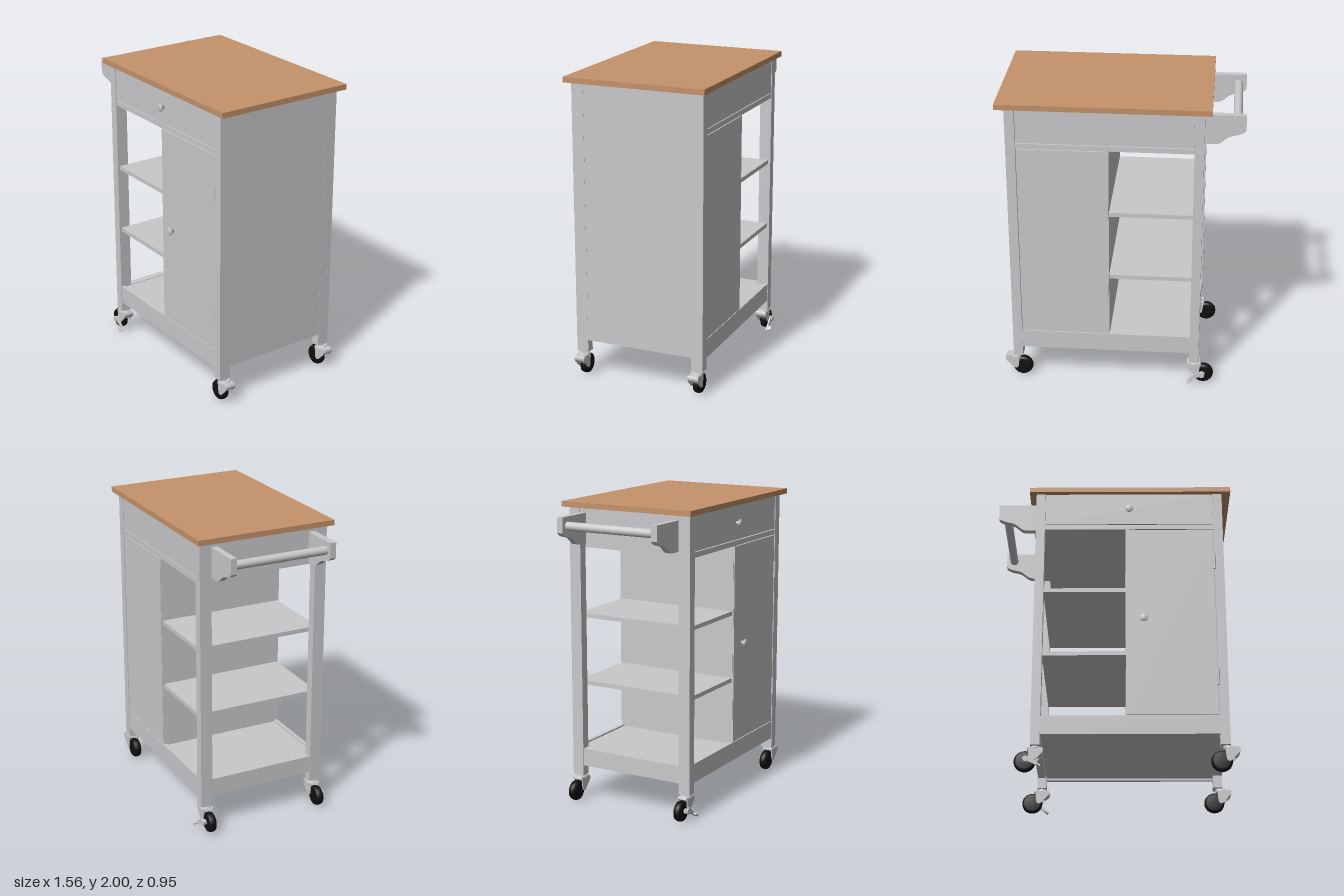
import * as THREE from 'three';

export function createModel() {
  const model = new THREE.Group();
  model.name = 'kitchenCart';
  const paint = new THREE.MeshStandardMaterial({ color: 0xc9c9cc });
  paint.name = 'grey paint';
  const wood = new THREE.MeshStandardMaterial({ color: 0xc4926a });
  wood.name = 'wood';
  const rubber = new THREE.MeshStandardMaterial({ color: 0x101010 });
  rubber.name = 'black rubber';

  const add = (name, geo, mat = paint, parent = model) => {
    const m = new THREE.Mesh(geo, mat);
    m.name = name;
    parent.add(m);
    return m;
  };
  // Box given by its min and max on each axis
  const box = (name, x0, x1, y0, y1, z0, z1, mat = paint) => {
    const m = add(name, new THREE.BoxGeometry(x1 - x0, y1 - y0, z1 - z0), mat);
    m.position.set((x0 + x1) / 2, (y0 + y1) / 2, (z0 + z1) / 2);
    return m;
  };
  // Outline in x and y, extruded along z about its middle
  const slab = (shape, depth) =>
    new THREE.ExtrudeGeometry(shape, { depth, bevelEnabled: false, curveSegments: 8 })
      .translate(0, 0, -depth / 2);

  // Worktop
  box('worktop', -0.57, 0.775, 1.965, 2, -0.473, 0.473, wood);

  // Corner legs
  for (const [x0, x1] of [[-0.525, -0.465], [0.655, 0.717]])
    for (const s of [1, -1])
      box('leg', x0, x1, 0.165, 1.965, s > 0 ? 0.365 : -0.445, s > 0 ? 0.445 : -0.365);

  // Closed side panel, and the aprons on the open side
  box('sidePanel', 0.66, 0.716, 0.25, 1.965, -0.366, 0.366);
  box('sideApron', -0.52, -0.47, 1.735, 1.965, -0.366, 0.366);
  box('lowerSideRail', -0.52, -0.47, 0.235, 0.352, -0.366, 0.366);

  // Drawer housing, floor and divider
  box('drawerHousing', -0.466, 0.656, 1.697, 1.964, -0.425, 0.425);
  box('floor', -0.466, 0.66, 0.25, 0.35, -0.425, 0.425);
  box('divider', 0.07, 0.095, 0.35, 1.697, -0.435, 0.435);

  // Open shelves
  for (const y of [0.793, 1.247])
    box('shelf', -0.466, 0.071, y - 0.014, y + 0.014, -0.428, 0.428);

  // Front and back faces
  for (const s of [1, -1]) {
    const face = (name, x0, x1, y0, y1, z) =>
      box(name, x0, x1, y0, y1, s > 0 ? z - 0.025 : -z, s > 0 ? z : -z + 0.025);
    face(s > 0 ? 'drawerFront' : 'backApron', -0.462, 0.652, 1.734, 1.964, 0.441);
    face('upperRail', -0.466, 0.656, 1.695, 1.729, 0.441);
    face('lowerRail', -0.466, 0.656, 0.235, 0.36, 0.441);
    face(s > 0 ? 'door' : 'backPanel', 0.073, 0.652, 0.365, 1.69, 0.441);
  }

  // Door hinges
  for (const y of [0.62, 1.45]) {
    add('hinge', new THREE.CylinderGeometry(0.009, 0.009, 0.11, 12)).position.set(0.655, y, 0.444);
  }

  // Knobs
  const knobProfile = [[0, 0], [0.014, 0], [0.011, 0.014], [0.024, 0.021], [0.026, 0.029], [0.02, 0.034], [0, 0.036]]
    .map(([r, h]) => new THREE.Vector2(r, h));
  for (const [name, x, y] of [['drawerKnob', 0.097, 1.843], ['doorKnob', 0.188, 1.028]]) {
    const k = add(name, new THREE.LatheGeometry(knobProfile, 24));
    k.rotation.x = Math.PI / 2;
    k.position.set(x, y, 0.44);
  }

  // Towel bar with curved brackets
  const bracket = new THREE.Shape();
  bracket.moveTo(-0.78, 1.93);
  bracket.lineTo(-0.78, 1.83);
  bracket.bezierCurveTo(-0.76, 1.80, -0.71, 1.80, -0.675, 1.785);
  bracket.bezierCurveTo(-0.64, 1.765, -0.63, 1.735, -0.59, 1.735);
  bracket.lineTo(-0.52, 1.735);
  bracket.lineTo(-0.52, 1.93);
  for (const z of [-0.343, 0.339]) add('handleBracket', slab(bracket, 0.042)).position.z = z;
  const bar = add('handleBar', new THREE.CylinderGeometry(0.028, 0.028, 0.65, 20));
  bar.rotation.x = Math.PI / 2;
  bar.position.set(-0.727, 1.87, 0);

  // Castor parts: origin on the floor below the stem, wheel trailing to -x
  const fork = new THREE.Shape();
  fork.moveTo(-0.045, 0.15);
  fork.lineTo(0.045, 0.15);
  fork.quadraticCurveTo(0.06, 0.13, 0.04, 0.11);
  fork.lineTo(-0.005, 0.062);
  fork.quadraticCurveTo(-0.03, 0.05, -0.035, 0.075);
  fork.lineTo(-0.04, 0.115);
  const hood = new THREE.Shape();
  hood.moveTo(-0.05, 0.14);
  hood.lineTo(-0.045, 0.152);
  hood.lineTo(0.045, 0.152);
  hood.quadraticCurveTo(0.06, 0.13, 0.04, 0.11);
  hood.lineTo(0.02, 0.095);
  hood.quadraticCurveTo(0, 0.135, -0.05, 0.14);
  const tyre = [[0.0, -0.026], [0.05, -0.026], [0.062, -0.02], [0.067, -0.008],
    [0.067, 0.008], [0.062, 0.02], [0.05, 0.026], [0, 0.026]].map(([r, h]) => new THREE.Vector2(r, h));
  const lever = new THREE.Shape();
  lever.moveTo(-0.075, 0.085);
  lever.lineTo(-0.03, 0.09);
  lever.lineTo(0.02, 0.045);
  lever.lineTo(0.045, 0.018);
  lever.lineTo(0.03, 0.018);
  lever.lineTo(-0.03, 0.05);
  lever.lineTo(-0.072, 0.058);

  for (const x of [-0.495, 0.725])
    for (const s of [1, -1]) {
      const c = new THREE.Group();
      c.name = 'castor';
      c.position.set(x, 0, s * 0.402);
      model.add(c);
      const offset = x > 0 ? -0.03 : 0; // stem sits under the leg
      add('stem', new THREE.CylinderGeometry(0.024, 0.024, 0.025, 16), paint, c).position.set(offset, 0.164, 0);
      add('swivel', new THREE.CylinderGeometry(0.034, 0.04, 0.014, 20), paint, c).position.set(offset / 2, 0.152, 0);
      add('hood', slab(hood, 0.06), paint, c);
      for (const t of [1, -1]) add('forkCheek', slab(fork, 0.008), paint, c).position.z = t * 0.032;
      const wheel = add('wheel', new THREE.LatheGeometry(tyre, 28), rubber, c);
      wheel.rotation.x = Math.PI / 2;
      wheel.position.set(-0.063, 0.067, 0);
      // Brake lever on the castors below the towel bar
      if (x < 0) {
        add('brakeLever', slab(lever, 0.01), paint, c).position.z = s * 0.043;
        const pedal = add('brakePedal', new THREE.BoxGeometry(0.03, 0.01, 0.035), paint, c);
        pedal.position.set(0.027, 0.026, s * 0.054);
        pedal.rotation.z = -0.7;
        const axle = add('axle', new THREE.CylinderGeometry(0.018, 0.018, 0.07, 16), paint, c);
        axle.rotation.x = Math.PI / 2;
        axle.position.set(-0.055, 0.07, s * 0.02);
      }
    }
  return model;
}
